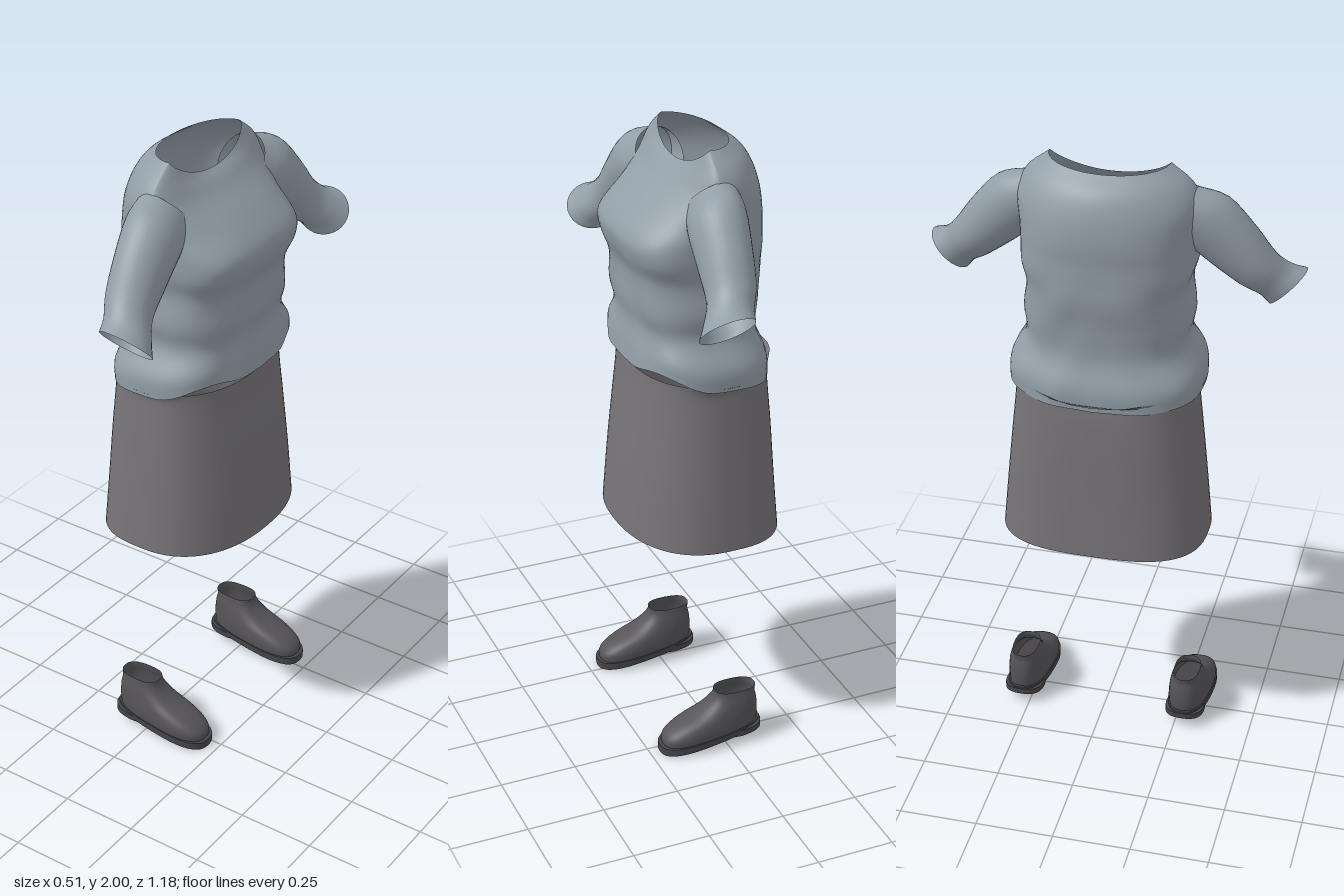
import * as THREE from 'three';

const material = (name, color) => {
  const m = new THREE.MeshStandardMaterial({ color, side: THREE.DoubleSide });
  m.name = name;
  return m;
};

// Smoothly interpolate rows of section values into n + 1 rows
function refine(rows, n) {
  const curve = new THREE.CubicInterpolant(rows.map((_, i) => i), rows.flat(), rows[0].length);
  return Array.from({ length: n + 1 }, (_, i) => [...curve.evaluate((i / n) * (rows.length - 1))]);
}

// Skin closed rings; point(row, angle) returns [x, y, z]
function loft(rows, point, segs = 48) {
  const pos = [], index = [];
  rows.forEach((row, i) => {
    for (let j = 0; j < segs; j++) {
      pos.push(...point(row, (j / segs) * Math.PI * 2));
      if (i === rows.length - 1) continue;
      const a = i * segs + j, b = i * segs + ((j + 1) % segs);
      index.push(a, a + segs, b, b, a + segs, b + segs);
    }
  });
  const g = new THREE.BufferGeometry();
  g.setAttribute('position', new THREE.Float32BufferAttribute(pos, 3));
  g.setIndex(index);
  g.computeVertexNormals();
  return g;
}

// Rounded outline with separate reach and squareness to back and front
function outline(t, cx, back, front, half, nBack, nFront) {
  const c = Math.cos(t), s = Math.sin(t), p = 2 / (c > 0 ? nFront : nBack);
  const x = cx + (c > 0 ? front - cx : back - cx) * Math.abs(c) ** p;
  return [x, Math.sign(s) * half * Math.abs(s) ** p];
}

function part(parent, name, geometry, mat) {
  const mesh = new THREE.Mesh(geometry, mat);
  mesh.name = name;
  parent.add(mesh);
  return mesh;
}

export function createModel() {
  const model = new THREE.Group();
  model.name = 'outfit';
  const cloth = material('blue grey knit', 0x929ea7);
  const wool = material('grey skirt cloth', 0x777478);
  const leather = material('dark shoe leather', 0x555356);
  const rubber = material('dark sole', 0x474548);

  // Sweater body: front y, side y, back y, back x, front x, half width,
  // back and front squareness, lift of the front corners
  const bodyRows = [
    [1.3, 1.268, 1.243, -0.214, 0.222, 0.303, 2.7, 2.6, 0.032],
    [1.355, 1.335, 1.31, -0.212, 0.215, 0.303, 2.6, 2.6, 0.014],
    [1.43, 1.42, 1.4, -0.183, 0.203, 0.258, 2.5, 2.7, 0],
    [1.5, 1.5, 1.5, -0.186, 0.212, 0.264, 2.5, 2.9, 0],
    [1.6, 1.6, 1.6, -0.2, 0.215, 0.248, 2.6, 3.2, 0],
    [1.67, 1.67, 1.67, -0.2, 0.238, 0.265, 2.6, 3.4, 0],
    [1.73, 1.73, 1.73, -0.2, 0.24, 0.268, 2.5, 3.2, 0],
    [1.8, 1.8, 1.8, -0.203, 0.185, 0.272, 2.3, 2.4, 0],
    [1.87, 1.88, 1.88, -0.192, 0.112, 0.282, 2, 1.9, 0],
    [1.91, 1.945, 1.945, -0.163, 0.075, 0.25, 1.9, 1.9, 0],
    [1.93, 1.998, 1.99, -0.107, 0.05, 0.185, 2, 2, 0],
  ];
  part(model, 'sweaterBody', loft(refine(bodyRows, 50), ([yF, yS, yB, xB, xF, half, nB, nF, lift], t) => {
    const c = Math.cos(t);
    const corner = c > 0 ? lift * Math.sin(2 * t) ** 2 : 0;
    const y = yS + ((c > 0 ? yF : yB) - yS) * Math.abs(c) ** 1.4 + corner;
    const [x, z] = outline(t, 0.01, xB, xF, half, nB, nF);
    // soft creases, fading toward the shoulders
    const fold = 1 + 0.01 * Math.sin(40 * Math.abs(z) + y * 22) * THREE.MathUtils.clamp((1.8 - y) * 4, 0, 1);
    return [x * fold, y, z * fold];
  }, 64), cloth);

  // Sleeve: centre x, y, z, radius along x, radius across
  const sleeveRows = [
    [0.01, 1.858, 0.195, 0.075, 0.094],
    [0.03, 1.817, 0.285, 0.088, 0.1],
    [0.042, 1.732, 0.375, 0.082, 0.09],
    [0.055, 1.657, 0.447, 0.076, 0.074],
    [0.085, 1.612, 0.497, 0.078, 0.068],
    [0.105, 1.583, 0.533, 0.086, 0.08],
  ];
  const sleeve = loft(refine(sleeveRows, 20), ([x, y, z, rx, rv], t) => {
    const c = Math.cos(t), v = -Math.sin(t) * rv;
    return [x + c * rx, y + v * 0.72 - c * 0.008, z + v * 0.7];
  }, 32);

  // Skirt: y, back x, front x, half width, waist lip
  const skirtRows = [
    [0.726, -0.244, 0.253, 0.331, 0],
    [0.9, -0.232, 0.239, 0.316, 0],
    [1.08, -0.222, 0.221, 0.299, 0],
    [1.2, -0.213, 0.208, 0.287, 0],
    [1.255, -0.209, 0.203, 0.284, 0],
    [1.28, -0.208, 0.201, 0.285, 1],
  ];
  part(model, 'skirt', loft(refine(skirtRows, 20), ([y, xB, xF, half, lip], t) => {
    const [x, z] = outline(t, 0, xB, xF, half, 2.9, 2.3);
    // lip flares only at the middle of the back and at the sides
    const backLip = 0.045 * Math.max(0, -Math.cos(t)) ** 16;
    const sideLip = 0.022 * Math.sign(z) * Math.abs(Math.sin(t)) ** 16;
    return [x - lip * backLip, y, z + lip * sideLip];
  }, 64), wool);

  // Shoe upper: y, back x, front x, half width, forward slope
  const upperRows = [
    [0.05, -0.118, 0.206, 0.067, 0.1],
    [0.078, -0.121, 0.203, 0.069, 0.1],
    [0.102, -0.121, 0.165, 0.066, 0.09],
    [0.124, -0.119, 0.09, 0.061, 0.06],
    [0.146, -0.116, 0.046, 0.056, 0.03],
    [0.168, -0.112, 0.026, 0.049, 0],
    [0.187, -0.115, 0.024, 0.044, 0],
  ];
  const shoePoint = ([y, xB, xF, half, slope], t) => {
    const [x, z] = outline(t, (xB + xF) / 2, xB, xF, half, 2.6, 2.6);
    return [x, y - slope * (x + 0.06), z * (1 + 0.5 * (x - 0.05))];
  };
  const upper = loft(refine(upperRows, 24), shoePoint, 40);

  // Closed slab with crisp edges, used for sole and heel
  const slab = (bottom, top, xB, xF, half, slopeB, slopeT) => {
    const mid = (xB + xF) / 2, lo = [bottom, xB, xF, half, slopeB], hi = [top, xB, xF, half, slopeT];
    const cap = ([y, , , , s]) => [y, mid, mid, 0, s];
    return loft([cap(lo), lo, lo, hi, hi, cap(hi)], shoePoint, 40);
  };
  const sole = slab(0.038, 0.057, -0.128, 0.217, 0.071, 0.135, 0.11);
  const heel = slab(0.03, 0.05, -0.13, 0, 0.068, 0.12, 0.12);

  // Mirrored sleeves and shoes
  for (const [side, sign] of [['left', 1], ['right', -1]]) {
    const half = new THREE.Group();
    half.name = side + 'Side';
    half.scale.z = sign;
    part(half, side + 'Sleeve', sleeve, cloth);
    const shoe = new THREE.Group();
    shoe.name = side + 'Shoe';
    shoe.position.z = 0.277;
    part(shoe, 'shoeUpper', upper, leather);
    part(shoe, 'shoeSole', sole, rubber);
    part(shoe, 'shoeHeel', heel, rubber);
    half.add(shoe);
    model.add(half);
  }
  return model;
}
